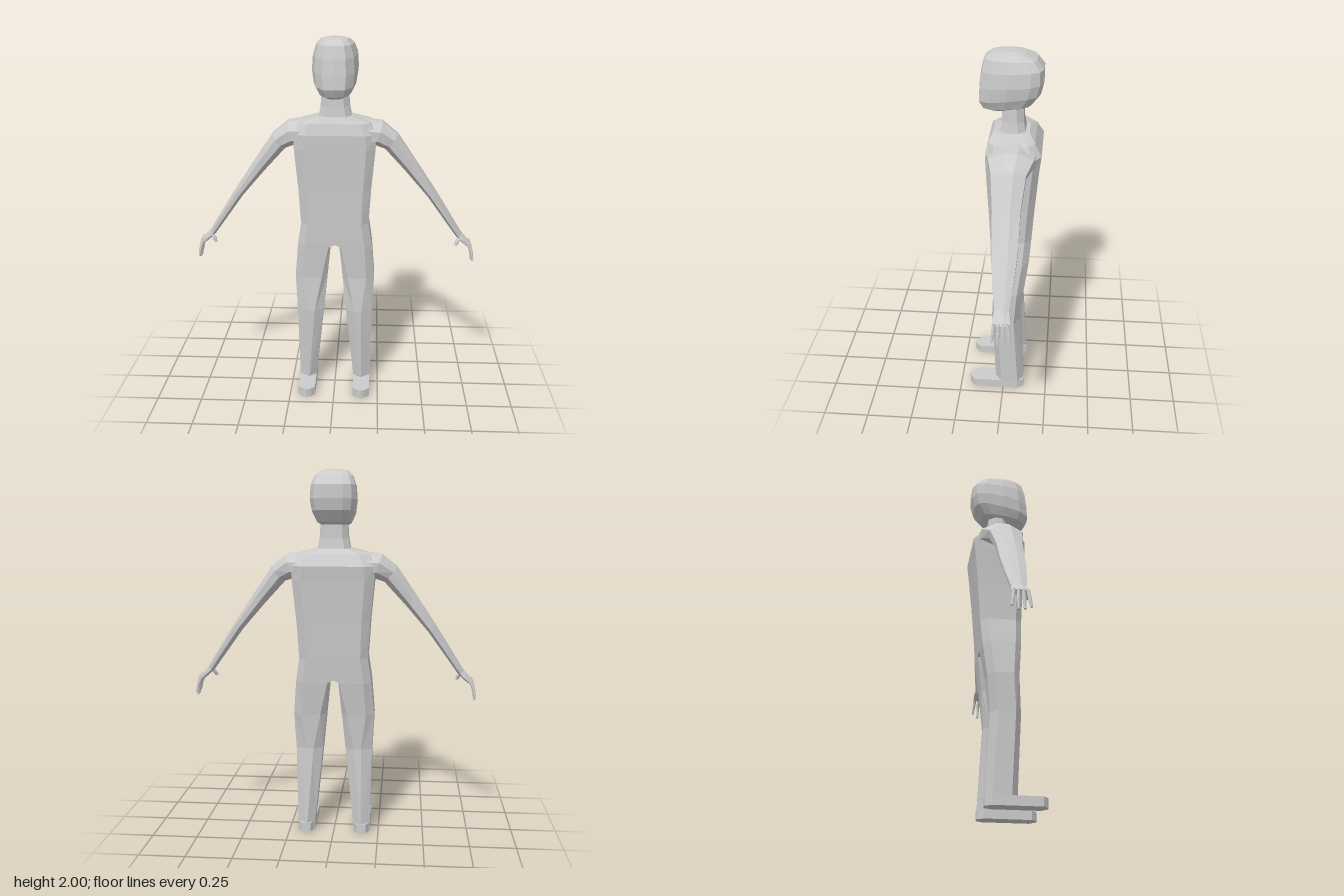
import * as THREE from 'three';

const material = new THREE.MeshStandardMaterial({ color: 0xcccccc, flatShading: true });

// Closed skin over rings of equal point count, capped at both ends, wound outward.
function loft(name, rings) {
  const n = rings[0].length, tris = [];
  for (let i = 0; i + 1 < rings.length; i++) {
    for (let j = 0; j < n; j++) {
      const k = (j + 1) % n;
      const a = rings[i][j], b = rings[i][k], c = rings[i + 1][k], d = rings[i + 1][j];
      tris.push([a, b, c], [a, c, d]);
    }
  }
  const first = rings[0], last = rings[rings.length - 1];
  for (let j = 1; j + 1 < n; j++) {
    tris.push([first[0], first[j + 1], first[j]], [last[0], last[j], last[j + 1]]);
  }
  const cross = new THREE.Vector3();
  const volume = tris.reduce((v, [a, b, c]) => v + a.dot(cross.crossVectors(b, c)), 0);
  const points = tris.flatMap(([a, b, c]) => (volume < 0 ? [a, c, b] : [a, b, c]));
  const geometry = new THREE.BufferGeometry().setFromPoints(points);
  geometry.computeVertexNormals();
  const mesh = new THREE.Mesh(geometry, material);
  mesh.name = name;
  return mesh;
}

// Level eight-sided section: a box outline with cut corners (inner cut at x0, outer at x1).
function section(y, x0, x1, z0, z1, outer = 0.04, inner = outer, cz = 0.035) {
  return [
    [x0 + inner, z1], [x1 - outer, z1], [x1, z1 - cz], [x1, z0 + cz],
    [x1 - outer, z0], [x0 + inner, z0], [x0, z0 + cz], [x0, z1 - cz],
  ].map(([x, z]) => new THREE.Vector3(x, y, z));
}

// Limb in the x-y plane; each step is [top x, top y, underside x, underside y, back z, front z].
function limb(name, side, steps) {
  return loft(name, steps.map(([tx, ty, ux, uy, z0, z1]) => {
    const point = (t, s) => new THREE.Vector3(
      side * THREE.MathUtils.lerp(ux, tx, t), THREE.MathUtils.lerp(uy, ty, t), THREE.MathUtils.lerp(z0, z1, s));
    return [[1, 0.35], [1, 0.65], [0.7, 1], [0.3, 1], [0, 0.65], [0, 0.35], [0.3, 0], [0.7, 0]]
      .map(([t, s]) => point(t, s));
  }));
}

function makeHead() {
  // [back y, front y, half width, back z, front z]
  const levels = [
    [1.695, 1.69, 0.045, -0.06, 0.085],
    [1.73, 1.705, 0.088, -0.135, 0.115],
    [1.79, 1.745, 0.112, -0.18, 0.137],
    [1.85, 1.82, 0.122, -0.195, 0.132],
    [1.92, 1.90, 0.117, -0.195, 0.122],
    [1.965, 1.965, 0.098, -0.16, 0.105],
    [1.99, 1.992, 0.072, -0.10, 0.07],
    [2.0, 2.0, 0.04, -0.06, 0.03],
  ];
  // Plan outline as fractions of half width and depth: flat face, rounded back
  const plan = [[0, 1], [0.5, 0.98], [0.85, 0.82], [1, 0.55], [1, 0.2], [0.82, 0.06], [0.45, 0]];
  const outline = [...plan, [0, 0], ...plan.slice(1).reverse().map(([x, z]) => [-x, z])]
    .filter(([x, z]) => !(x === 0 && z === 0));
  return loft('head', levels.map(([yb, yf, w, zb, zf]) => outline.map(([x, z]) =>
    new THREE.Vector3(x * w, THREE.MathUtils.lerp(yb, yf, z), THREE.MathUtils.lerp(zb, zf, z)))));
}

function makeTorso() {
  // [y, half width, back z, front z, corner cut]
  return loft('torso', [
    [0.88, 0.204, -0.14, 0.068, 0.04],
    [1.0, 0.186, -0.15, 0.072, 0.04],
    [1.2, 0.198, -0.165, 0.08, 0.045],
    [1.42, 0.218, -0.185, 0.09, 0.05],
    [1.5, 0.222, -0.195, 0.093, 0.06],
    [1.56, 0.19, -0.16, 0.078, 0.05],
    [1.588, 0.095, -0.128, 0.06, 0.03],
  ].map(([y, w, z0, z1, cut]) => section(y, -w, w, z0, z1, cut)));
}

function makeArm(side) {
  const arm = new THREE.Group();
  arm.name = side > 0 ? 'leftArm' : 'rightArm';
  arm.add(limb('armSkin', side, [
    [0.15, 1.57, 0.17, 1.40, -0.17, 0.075],
    [0.255, 1.555, 0.215, 1.43, -0.16, 0.07],
    [0.337, 1.49, 0.27, 1.41, -0.125, 0.05],
    [0.44, 1.34, 0.385, 1.285, -0.105, 0.035],
    [0.544, 1.185, 0.51, 1.14, -0.102, 0.028],
    [0.63, 1.05, 0.60, 1.015, -0.088, 0.018],
    [0.705, 0.93, 0.675, 0.91, -0.072, 0.002],
  ]));
  // Palm
  arm.add(limb('hand', side, [
    [0.702, 0.935, 0.67, 0.915, -0.07, 0.0],
    [0.732, 0.90, 0.69, 0.895, -0.078, 0.008],
    [0.757, 0.875, 0.727, 0.862, -0.078, 0.008],
  ]));
  // Four fingers fanned from front to back
  for (let i = 0; i < 4; i++) {
    const z = 0.0 - i * 0.0225, spread = (1.5 - i) * 0.004, tip = [0.782, 0.77, 0.765, 0.785][i] ;
    arm.add(limb('finger', side, [
      [0.755, 0.885, 0.732, 0.872, z - 0.01, z + 0.008],
      [0.768, 0.83, 0.752, 0.826, z + spread - 0.009, z + spread + 0.007],
      [0.773, tip + 0.002, 0.762, tip, z + spread * 2 - 0.007, z + spread * 2 + 0.005],
    ]));
  }
  // Thumb
  arm.add(limb('thumb', side, [
    [0.705, 0.91, 0.68, 0.905, -0.025, 0.005],
    [0.69, 0.888, 0.668, 0.888, -0.014, 0.012],
    [0.678, 0.868, 0.664, 0.87, -0.005, 0.012],
  ]));
  return arm;
}

function makeLeg(side) {
  const leg = new THREE.Group();
  leg.name = side > 0 ? 'leftLeg' : 'rightLeg';
  // [y, inner x, outer x, back z, front z, outer cut, inner cut]
  const rings = [
    [0.88, 0.0, 0.204, -0.14, 0.068, 0.04, 0.004],
    [0.865, 0.025, 0.206, -0.139, 0.067, 0.04, 0.008],
    [0.68, 0.043, 0.222, -0.113, 0.055, 0.045, 0.03],
    [0.48, 0.063, 0.212, -0.096, 0.066, 0.06, 0.05],
    [0.05, 0.108, 0.203, -0.12, 0.045, 0.05, 0.04],
    [0.0, 0.108, 0.203, -0.122, 0.043, 0.05, 0.04],
  ].map((r) => section(...r));
  rings.flat().forEach((p) => { p.x *= side; });
  leg.add(loft('legSkin', rings));
  // Flat foot with a cut-off toe
  const sole = [[0.108, -0.08], [0.13, -0.121], [0.18, -0.121], [0.203, -0.08],
    [0.203, 0.165], [0.178, 0.188], [0.155, 0.198], [0.13, 0.188], [0.108, 0.165]];
  leg.add(loft('foot', [0, 0.05].map((y) => sole.map(([x, z]) => new THREE.Vector3(side * x, y, z)))));
  return leg;
}

export function createModel() {
  const model = new THREE.Group();
  model.name = 'figure';
  model.add(makeHead(), makeTorso());
  model.add(loft('neck', [
    section(1.57, -0.09, 0.09, -0.11, 0.025, 0.03),
    section(1.64, -0.078, 0.078, -0.098, 0.017, 0.03),
    section(1.76, -0.07, 0.07, -0.095, 0.012, 0.03),
  ]));
  for (const side of [1, -1]) model.add(makeArm(side), makeLeg(side));
  return model;
}
